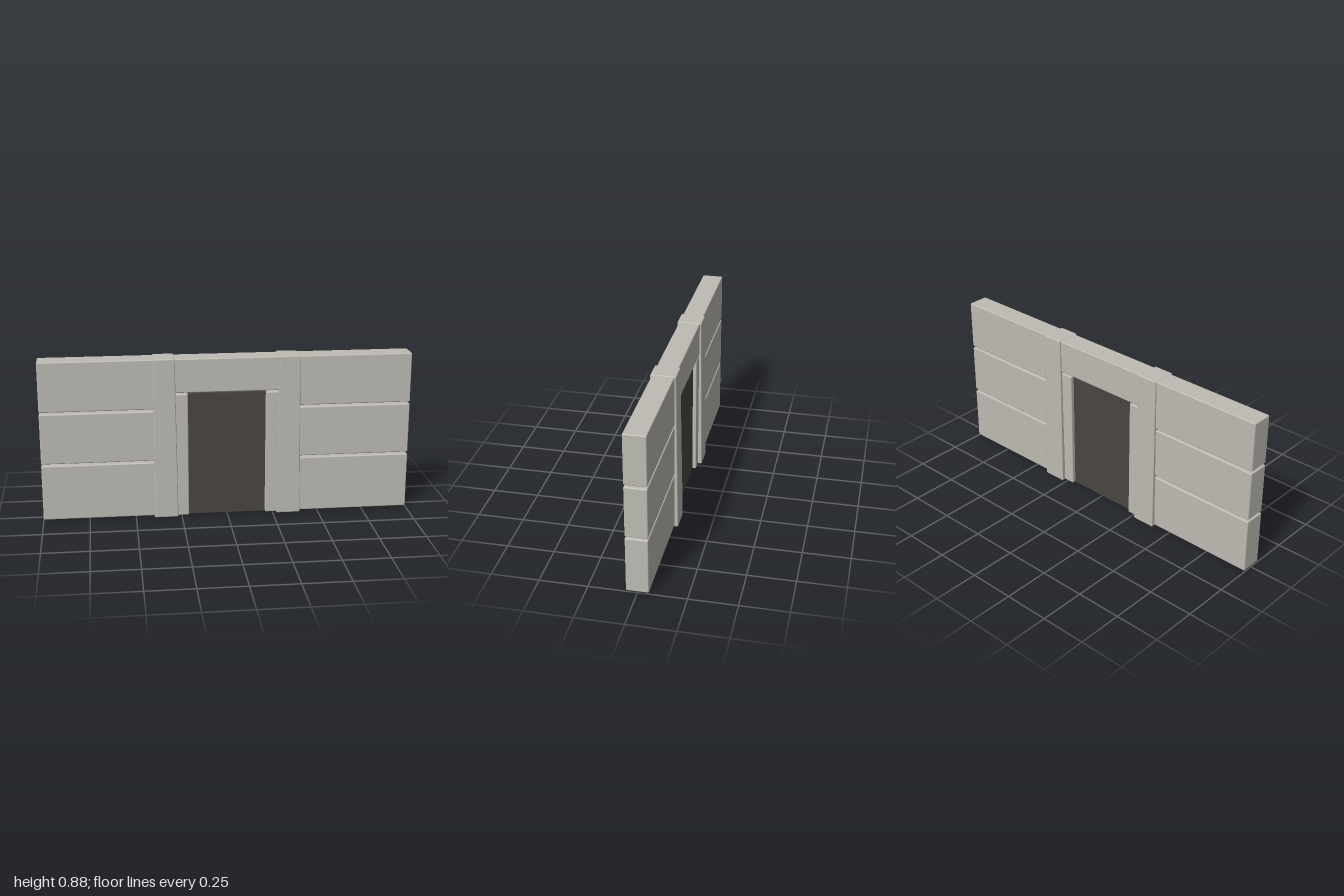
import * as THREE from 'three';
import { RoundedBoxGeometry } from 'three/addons/geometries/RoundedBoxGeometry.js';

export function createModel() {
  const model = new THREE.Group();
  model.name = 'wallWithDoorway';
  const stone = new THREE.MeshStandardMaterial({ color: 0xbdbbb3 });
  stone.name = 'pale stone';
  const dark = new THREE.MeshStandardMaterial({ color: 0x4a4640 });
  dark.name = 'dark door';

  // Softly bevelled block spanning x0..x1 and y0..y1, centred on z
  function block(name, x0, x1, y0, y1, depth) {
    const geometry = new RoundedBoxGeometry(x1 - x0, y1 - y0, depth, 2, 0.006);
    const mesh = new THREE.Mesh(geometry, stone);
    mesh.position.set((x0 + x1) / 2, (y0 + y1) / 2, 0);
    mesh.name = name;
    model.add(mesh);
    return mesh;
  }

  // Pillar that narrows towards the top in width and depth
  function taper(geometry, height, topX, topZ) {
    const p = geometry.attributes.position;
    for (let i = 0; i < p.count; i++) {
      const t = p.getY(i) / height + 0.5;
      p.setX(i, p.getX(i) * (1 + (topX - 1) * t));
      p.setZ(i, p.getZ(i) * (1 + (topZ - 1) * t));
    }
  }

  const courses = [[0.005, 0.31], [0.321, 0.597], [0.608, 0.88]];
  for (const side of [-1, 1]) {
    const prefix = side > 0 ? 'left' : 'right';
    const span = (a, b) => (side > 0 ? [a, b] : [-b, -a]);

    // Three stacked courses with open joints between them
    courses.forEach(([y0, y1], i) =>
      block(`${prefix}WallCourse${i + 1}`, ...span(0.33, 1), y0, y1, 0.116));

    const pillar = block(`${prefix}Pillar`, ...span(0.27, 0.4), 0, 0.883, 0.156);
    taper(pillar.geometry, 0.883, 0.86, 0.85);

    block(`${prefix}DoorJamb`, ...span(0.21, 0.3), 0, 0.687, 0.112);
  }

  // Lintel above the opening
  block('lintel', -0.31, 0.31, 0.695, 0.88, 0.116);

  // Recessed door slab
  const door = new THREE.Mesh(new THREE.BoxGeometry(0.42, 0.685, 0.07), dark);
  door.position.y = 0.3425;
  door.name = 'door';
  model.add(door);

  return model;
}
